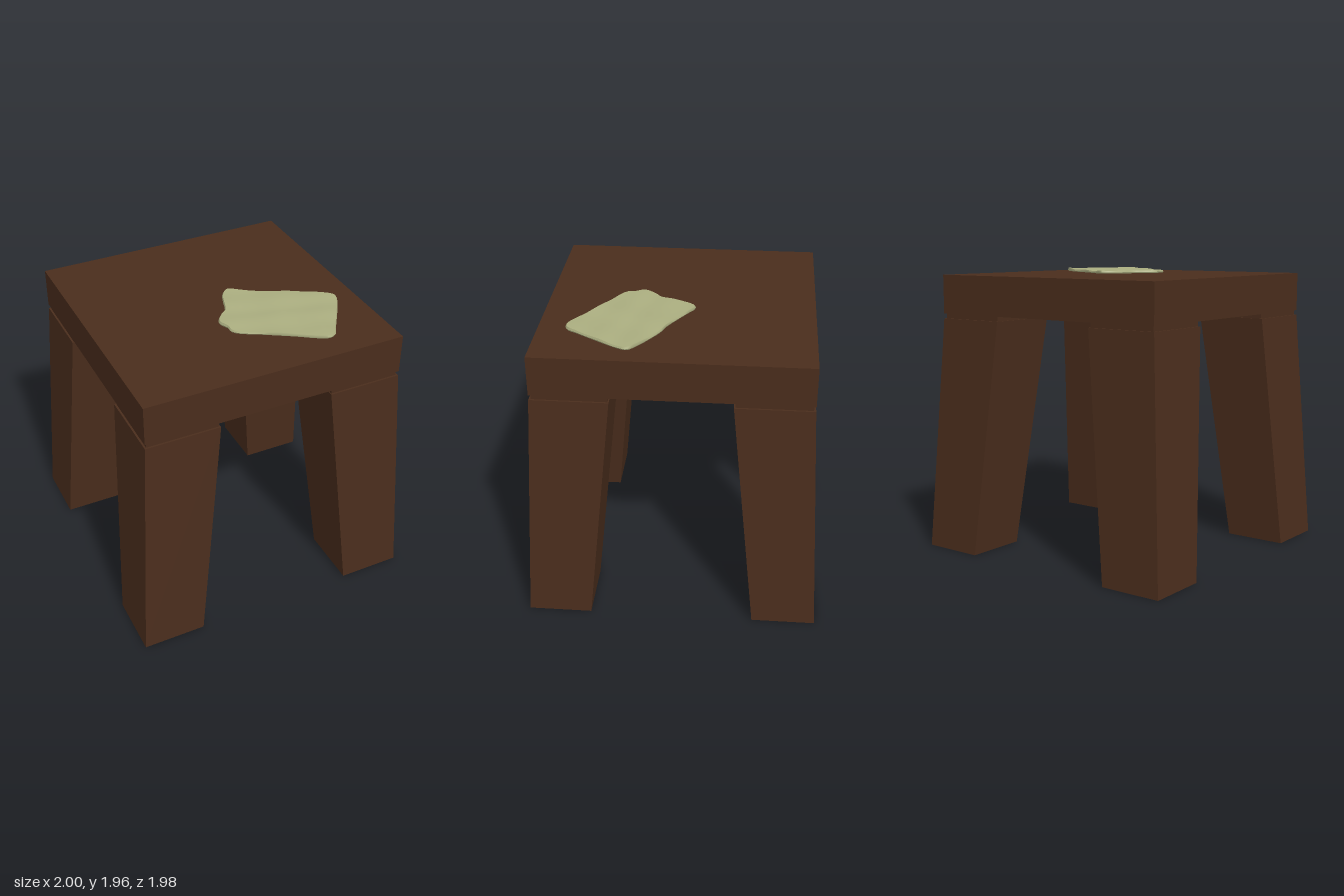
import * as THREE from 'three';
import { toCreasedNormals } from 'three/addons/utils/BufferGeometryUtils.js';

const wood = new THREE.MeshStandardMaterial({ color: 0x4a2d1c, flatShading: true });
const fabric = new THREE.MeshStandardMaterial({ color: 0xabae80 });

// Box whose bottom and top rectangles have their own [min, max] range in x and z
function taperedBox(y0, y1, x0, x1, z0, z1) {
  const geo = new THREE.BoxGeometry(1, 1, 1);
  const p = geo.attributes.position;
  for (let i = 0; i < p.count; i++) {
    const top = p.getY(i) > 0;
    const x = (top ? x1 : x0)[p.getX(i) > 0 ? 1 : 0];
    const z = (top ? z1 : z0)[p.getZ(i) > 0 ? 1 : 0];
    p.setXYZ(i, x, top ? y1 : y0, z);
  }
  geo.computeVertexNormals();
  return geo;
}

// Thin rumpled cloth: rings from bottom centre, round the edge, to top centre
function clothGeometry() {
  const outline = [
    [0.13, -0.1], [0.2, -0.06], [0.42, 0.07], [0.5, 0.1], [0.7, 0.23], [0.76, 0.29],
    [0.74, 0.35], [0.55, 0.65], [0.52, 0.7], [0.47, 0.72], [0.4, 0.69], [0.28, 0.61],
    [0.1, 0.5], [-0.05, 0.41], [-0.075, 0.37], [-0.07, 0.34], [-0.1, 0.26],
    [-0.05, 0.18], [0, 0.14], [0.04, 0.03], [0.08, -0.06],
  ].map(([x, z]) => new THREE.Vector3(x, 0, z));
  const n = 96;
  const edge = new THREE.CatmullRomCurve3(outline, true).getSpacedPoints(n);
  const centre = new THREE.Vector3(0.33, 0, 0.31);
  const rings = [[0, 0], [0.99, 0], [1, 0.4], [0.985, 1], [0.85, 1], [0.7, 1], [0.5, 1], [0.3, 1], [0.12, 1], [0, 1]];
  const pos = [], index = [];
  for (const [s, h] of rings) {
    for (let i = 0; i < n; i++) {
      const v = centre.clone().lerp(edge[i], s);
      const wave = Math.sin(v.x * 17 + v.z * 9) * 0.0025 + Math.sin(v.z * 26 - v.x * 7) * 0.0025;
      pos.push(v.x, 1.9385 + h * (0.019 + wave), v.z);
    }
  }
  for (let r = 0; r < rings.length - 1; r++) {
    for (let i = 0; i < n; i++) {
      const a = r * n + i, b = r * n + (i + 1) % n, c = a + n, d = b + n;
      if (r > 0) index.push(a, c, b);
      else index.push(a, c, d);
      if (r > 0 && r < rings.length - 2) index.push(b, c, d);
    }
  }
  const geo = new THREE.BufferGeometry();
  geo.setAttribute('position', new THREE.Float32BufferAttribute(pos, 3));
  geo.setIndex(index);
  return toCreasedNormals(geo, 0.7);
}

export function createModel() {
  const group = new THREE.Group();
  const add = (name, geo, mat, parent = group) => {
    const mesh = new THREE.Mesh(geo, mat);
    mesh.name = name;
    parent.add(mesh);
  };

  // Thick square seat
  const seat = new THREE.BoxGeometry(1.8, 0.27, 1.8);
  seat.translate(0, 1.803, 0);
  add('seat', seat, wood);

  // Four splayed legs, each with a slightly recessed neck under the seat
  const side = (s, a, b) => (s > 0 ? [a, b] : [-b, -a]);
  for (const sx of [-1, 1]) {
    for (const sz of [-1, 1]) {
      const leg = new THREE.Group();
      leg.name = (sz > 0 ? 'front' : 'back') + (sx > 0 ? 'Left' : 'Right') + 'Leg';
      add('legPost', taperedBox(0, 1.635,
        side(sx, 0.565, 1), side(sx, 0.392, 0.9),
        side(sz, 0.558, 0.988), side(sz, 0.392, 0.9)), wood, leg);
      const neck = side(sx, 0.4, 0.887), neckZ = side(sz, 0.4, 0.887);
      add('legNeck', taperedBox(1.63, 1.67, neck, neck, neckZ, neckZ), wood, leg);
      group.add(leg);
    }
  }

  // Cloth lying on the seat
  add('cloth', clothGeometry(), fabric);
  return group;
}
